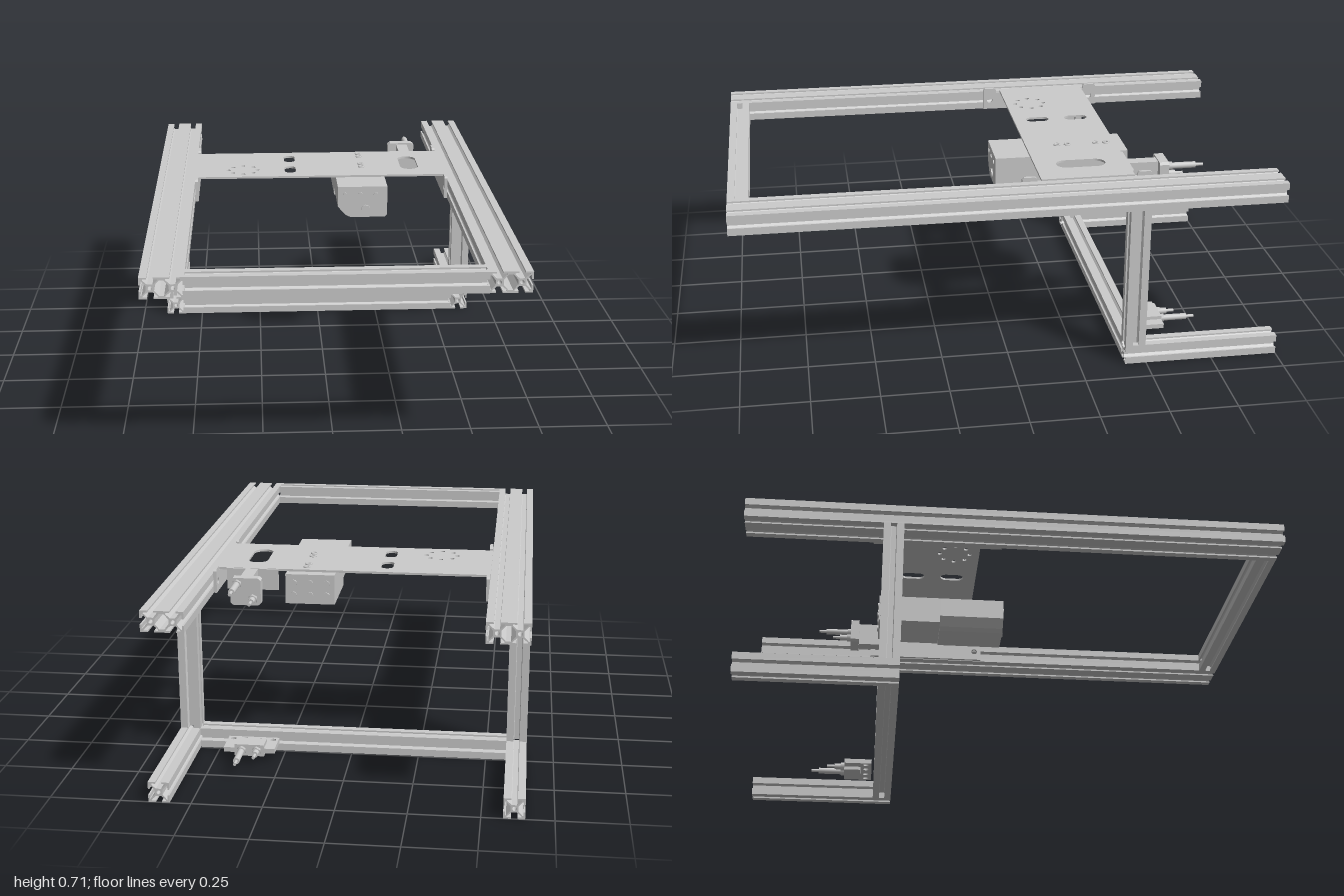
import * as THREE from 'three';

const material = new THREE.MeshStandardMaterial({ color: 0xcccccc, side: THREE.DoubleSide });
const A = 0.0375; // half width of one extrusion cell
const RAIL_Y = 0.6575;

const V = (x, y) => new THREE.Vector2(x, y);

function circle(x, y, r, n = 16) {
  const p = new THREE.Path();
  p.setFromPoints(Array.from({ length: n }, (_, i) =>
    V(x + r * Math.cos((i / n) * 2 * Math.PI), y + r * Math.sin((i / n) * 2 * Math.PI))));
  return p;
}

// Upright slot with rounded ends, w wide and h high
function slot(x, y, w, h) {
  const r = w / 2, d = h / 2 - r, p = new THREE.Path();
  p.absarc(x, y + d, r, 0, Math.PI, false);
  p.absarc(x, y - d, r, Math.PI, 2 * Math.PI, false);
  p.closePath();
  return p;
}

// T-slot section: one or two square cells side by side
function tSlotShape(cells) {
  const half = [[A, A], [0.011, A], [0.011, 0.0315], [0.025, 0.0315], [0.025, 0.028], [0.009, 0.0135]];
  const side = [...half, ...half.slice(1).reverse().map(([x, y]) => [-x, y])];
  const xs = cells === 1 ? [0] : [A, -A];
  const pts = [];
  const addSide = (cx, turn) => {
    const c = Math.cos(turn), s = Math.sin(turn);
    side.forEach(([x, y]) => pts.push(V(cx + x * c - y * s, x * s + y * c)));
  };
  xs.forEach((cx) => addSide(cx, 0));
  addSide(xs[xs.length - 1], Math.PI / 2);
  [...xs].reverse().forEach((cx) => addSide(cx, Math.PI));
  addSide(xs[0], -Math.PI / 2);
  const shape = new THREE.Shape(pts);
  xs.forEach((cx) => shape.holes.push(circle(cx, 0, 0.0075)));
  // Closed cavity between the two cells
  if (cells === 2) {
    const hole = new THREE.Path();
    hole.setFromPoints([V(0.024, -0.009), V(0.024, 0.009), V(0.008, 0.027), V(-0.008, 0.027),
      V(-0.024, 0.009), V(-0.024, -0.009), V(-0.008, -0.027), V(0.008, -0.027)]);
    shape.holes.push(hole);
  }
  return shape;
}

function extrude(shape, depth) {
  return new THREE.ExtrudeGeometry(shape, { depth, bevelEnabled: false, curveSegments: 10 });
}

function add(parent, name, geometry, x = 0, y = 0, z = 0) {
  const mesh = new THREE.Mesh(geometry, material);
  mesh.name = name;
  mesh.position.set(x, y, z);
  parent.add(mesh);
  return mesh;
}

function box(parent, name, [x0, x1], [y0, y1], [z0, z1]) {
  return add(parent, name, new THREE.BoxGeometry(x1 - x0, y1 - y0, z1 - z0),
    (x0 + x1) / 2, (y0 + y1) / 2, (z0 + z1) / 2);
}

// Extrusion centred on a point, running along the given axis
function bar(parent, name, cells, length, axis, x, y, z) {
  const g = extrude(tSlotShape(cells), length);
  g.translate(0, 0, -length / 2);
  if (axis === 'x') g.rotateY(Math.PI / 2);
  if (axis === 'y') g.rotateX(Math.PI / 2);
  return add(parent, name, g, x, y, z);
}

function rod(parent, name, r, x, y, z0, z1, sides = 16) {
  const g = new THREE.CylinderGeometry(r, r, Math.abs(z1 - z0), sides);
  g.rotateX(Math.PI / 2);
  return add(parent, name, g, x, y, (z0 + z1) / 2);
}

// Drilled mounting block with two stepped pins pointing backwards
function pinUnit(name) {
  const unit = new THREE.Group();
  unit.name = name;
  const flange = new THREE.Shape([V(-0.095, 0), V(0.095, 0), V(0.095, 0.11), V(0.055, 0.11),
    V(0.055, 0.075), V(-0.055, 0.075), V(-0.055, 0.11), V(-0.095, 0.11)]);
  [-0.075, -0.028, 0.028, 0.075].forEach((x) => flange.holes.push(circle(x, 0.022, 0.011)));
  const g = extrude(flange, 0.018);
  g.rotateX(-Math.PI / 2);
  add(unit, 'mountingFlange', g, 0, -0.009, 0);
  box(unit, 'pinBlock', [-0.055, 0.055], [-0.022, 0.022], [-0.11, -0.045]);
  [[-0.028, -0.18], [0.028, -0.245]].forEach(([x, end]) => {
    rod(unit, 'pinNut', 0.017, x, 0, -0.11, -0.125, 6);
    rod(unit, 'pinBody', 0.012, x, 0, -0.125, end + 0.03);
    rod(unit, 'pinTip', 0.006, x, 0, end + 0.03, end);
  });
  return unit;
}

export function createModel() {
  const model = new THREE.Group();
  model.name = 'extrusionFrame';

  // Frame: paired upper rails, legs and lower rails
  for (const s of [-1, 1]) {
    bar(model, 'upperRail', 2, 2, 'z', s * 0.575, RAIL_Y, 0);
    bar(model, 'leg', 1, 0.545, 'y', s * 0.6125, 0.3475, -0.4575);
    bar(model, 'lowerRail', 1, 0.58, 'z', s * 0.6125, A, -0.71);
  }
  bar(model, 'frontCrossbar', 1, 1, 'x', 0, RAIL_Y, 0.9625);
  bar(model, 'lowerCrossbar', 1, 1.15, 'x', 0, A, -0.4575);

  // Deck plate with slots and a ring of holes (shape y becomes -z)
  const deck = new THREE.Shape([V(-0.5, 0.12), V(0.5, 0.12), V(0.5, 0.465), V(-0.5, 0.465)]);
  deck.holes.push(slot(-0.12, 0.37, 0.045, 0.09), slot(-0.12, 0.215, 0.045, 0.09),
    slot(0.365, 0.292, 0.072, 0.185));
  for (let i = 0; i < 8; i++) {
    const a = (i * Math.PI) / 4;
    deck.holes.push(circle(-0.31 + 0.058 * Math.cos(a), 0.215 + 0.058 * Math.sin(a), 0.009, 10));
  }
  const deckGeometry = extrude(deck, 0.008);
  deckGeometry.rotateX(-Math.PI / 2);
  add(model, 'deckPlate', deckGeometry, 0, 0.693, 0);
  for (const z of [-0.43, -0.39, -0.28, -0.24]) {
    const g = new THREE.TorusGeometry(0.01, 0.004, 6, 16);
    g.rotateX(Math.PI / 2);
    add(model, 'deckScrew', g, 0.17, 0.702, z);
  }

  // Side brackets with raised ears at both ends (shape x becomes -z)
  const bracket = new THREE.Shape([V(0.05, 0.622), V(0.53, 0.622), V(0.53, 0.703), V(0.523, 0.71),
    V(0.482, 0.71), V(0.475, 0.703), V(0.475, 0.693), V(0.105, 0.693), V(0.105, 0.703),
    V(0.098, 0.71), V(0.057, 0.71), V(0.05, 0.703)]);
  bracket.holes.push(circle(0.0775, 0.66, 0.012), circle(0.5025, 0.66, 0.012));
  const bracketGeometry = extrude(bracket, 0.012);
  bracketGeometry.rotateY(Math.PI / 2);
  for (const x of [-0.499, 0.487]) add(model, 'sideBracket', bracketGeometry, x);

  // Drive unit hanging under the deck
  const drive = new THREE.Group();
  drive.name = 'driveUnit';
  model.add(drive);
  const housing = new THREE.Shape([V(0.06, 0.692), V(0.06, 0.612), V(0.09, 0.578), V(0.11, 0.568),
    V(0.245, 0.568), V(0.255, 0.578), V(0.255, 0.692)]);
  add(drive, 'frontHousing', extrude(housing, 0.26), 0, 0, -0.25);
  box(drive, 'rearHousing', [0.06, 0.24], [0.582, 0.692], [-0.5, -0.25]);
  rod(drive, 'frontPort', 0.018, 0.17, 0.6, 0.01, 0.016);
  for (const x of [0.09, 0.15, 0.21]) {
    for (const y of [0.615, 0.66]) {
      rod(drive, 'rearScrew', 0.012, x, y, -0.505, -0.5, 12);
      if (y > 0.62) rod(drive, 'frontScrew', 0.009, x, y, 0.01, 0.014, 12);
    }
  }

  // Upper pin unit, turned on its side and held by a bent tab
  box(model, 'bentTab', [0.27, 0.46], [0.622, 0.7], [-0.472, -0.464]);
  const upper = new THREE.Group();
  upper.name = 'upperPinMount';
  model.add(upper);
  box(upper, 'pinArm', [0.345, 0.39], [0.607, 0.7], [-0.58, -0.472]);
  const face = new THREE.Shape([V(0.32, 0.605), V(0.41, 0.605), V(0.42, 0.613), V(0.42, 0.697),
    V(0.41, 0.705), V(0.32, 0.705), V(0.31, 0.697), V(0.31, 0.613)]);
  add(upper, 'pinPlate', extrude(face, 0.035), 0, 0, -0.615);
  [[0.339, 0.63, -0.69], [0.395, 0.683, -0.75]].forEach(([x, y, end]) => {
    rod(upper, 'pinNut', 0.017, x, y, -0.615, -0.63, 6);
    rod(upper, 'pinBody', 0.012, x, y, -0.63, end + 0.03);
    rod(upper, 'pinTip', 0.006, x, y, end + 0.03, end);
  });

  // Lower pin unit behind the lower crossbar
  const lower = pinUnit('lowerPinUnit');
  lower.position.set(0.367, 0.045, -0.505);
  model.add(lower);

  return model;
}
